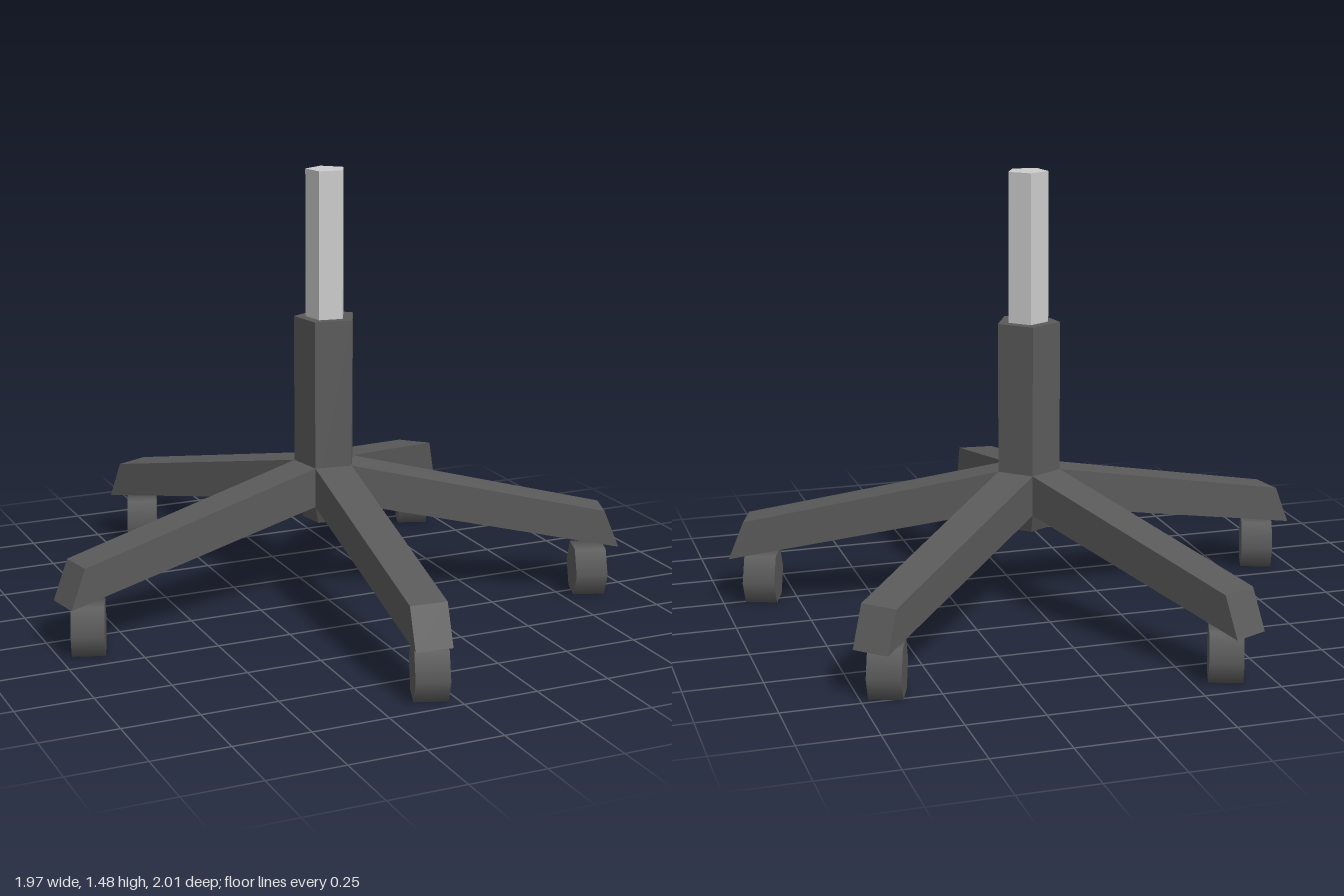
import * as THREE from 'three';

const dark = new THREE.MeshStandardMaterial({ color: 0x5a5a5a, flatShading: true });
const wheelMat = new THREE.MeshStandardMaterial({ color: 0x5a5a5a });
const steel = new THREE.MeshStandardMaterial({ color: 0xcccccc, flatShading: true });

const CENTRE = { x: 0.018, z: -0.058 };
const HUB_R = 0.108;
const FACE0 = THREE.MathUtils.degToRad(-8); // direction of the first pentagon face
const STEP = Math.PI * 2 / 5;

// Five-sided prism around the column axis
function prism(name, rTop, rBottom, y0, y1, material) {
  const geo = new THREE.CylinderGeometry(rTop, rBottom, y1 - y0, 5, 1, false, FACE0 + STEP / 2);
  const mesh = new THREE.Mesh(geo, material);
  mesh.name = name;
  mesh.position.set(CENTRE.x, (y0 + y1) / 2, CENTRE.z);
  return mesh;
}

// Tapered beam from one pentagon face down to a slanted tip
function arm(index, tipX, tipZ) {
  const face = FACE0 + index * STEP;
  const dir = Math.atan2(tipX - CENTRE.x, tipZ - CENTRE.z);
  const geo = new THREE.BoxGeometry(1, 1, 1);
  const p = geo.attributes.position;
  for (let i = 0; i < p.count; i++) {
    const side = Math.sign(p.getX(i)), top = p.getY(i) > 0;
    if (p.getZ(i) < 0) {
      const a = face + side * STEP / 2;
      p.setXYZ(i, CENTRE.x + HUB_R * Math.sin(a), top ? 0.48 : 0.345, CENTRE.z + HUB_R * Math.cos(a));
    } else {
      const inset = top ? 0.052 : 0, half = 0.061 * side;
      p.setXYZ(i,
        tipX - inset * Math.sin(dir) + half * Math.cos(dir),
        top ? 0.295 : 0.165,
        tipZ - inset * Math.cos(dir) - half * Math.sin(dir));
    }
  }
  geo.computeVertexNormals();
  const mesh = new THREE.Mesh(geo, dark);
  mesh.name = 'baseArm';
  return mesh;
}

// Six-sided caster wheel, all turned the same way
function caster(x, z) {
  const r = 0.094;
  const geo = new THREE.CylinderGeometry(r, r, 0.107, 6).rotateZ(Math.PI / 2);
  const mesh = new THREE.Mesh(geo, wheelMat);
  mesh.name = 'casterWheel';
  mesh.position.set(x, r * Math.cos(Math.PI / 6), z);
  mesh.rotation.y = THREE.MathUtils.degToRad(-20);
  return mesh;
}

export function createModel() {
  const model = new THREE.Group();
  model.name = 'swivelChairBase';

  // Column: tapered hub underside, outer sleeve, inner lift rod
  model.add(
    prism('hubUnderside', HUB_R, 0.078, 0.28, 0.345, dark),
    prism('columnSleeve', HUB_R, HUB_R, 0.345, 0.98, dark),
    prism('liftRod', 0.069, 0.069, 0.97, 1.475, steel),
  );

  // Arm tip x, z and caster x, z
  const legs = [
    [-0.075, 0.946, -0.066, 0.898],
    [0.962, 0.28, 0.86, 0.27],
    [0.727, -0.775, 0.659, -0.7],
    [-0.406, -0.975, -0.365, -0.877],
    [-0.977, 0.12, -0.894, 0.123],
  ];
  legs.forEach(([tx, tz, wx, wz], i) => {
    const leg = new THREE.Group();
    leg.name = 'leg' + (i + 1);
    leg.add(arm(i, tx, tz), caster(wx, wz));
    model.add(leg);
  });
  return model;
}
